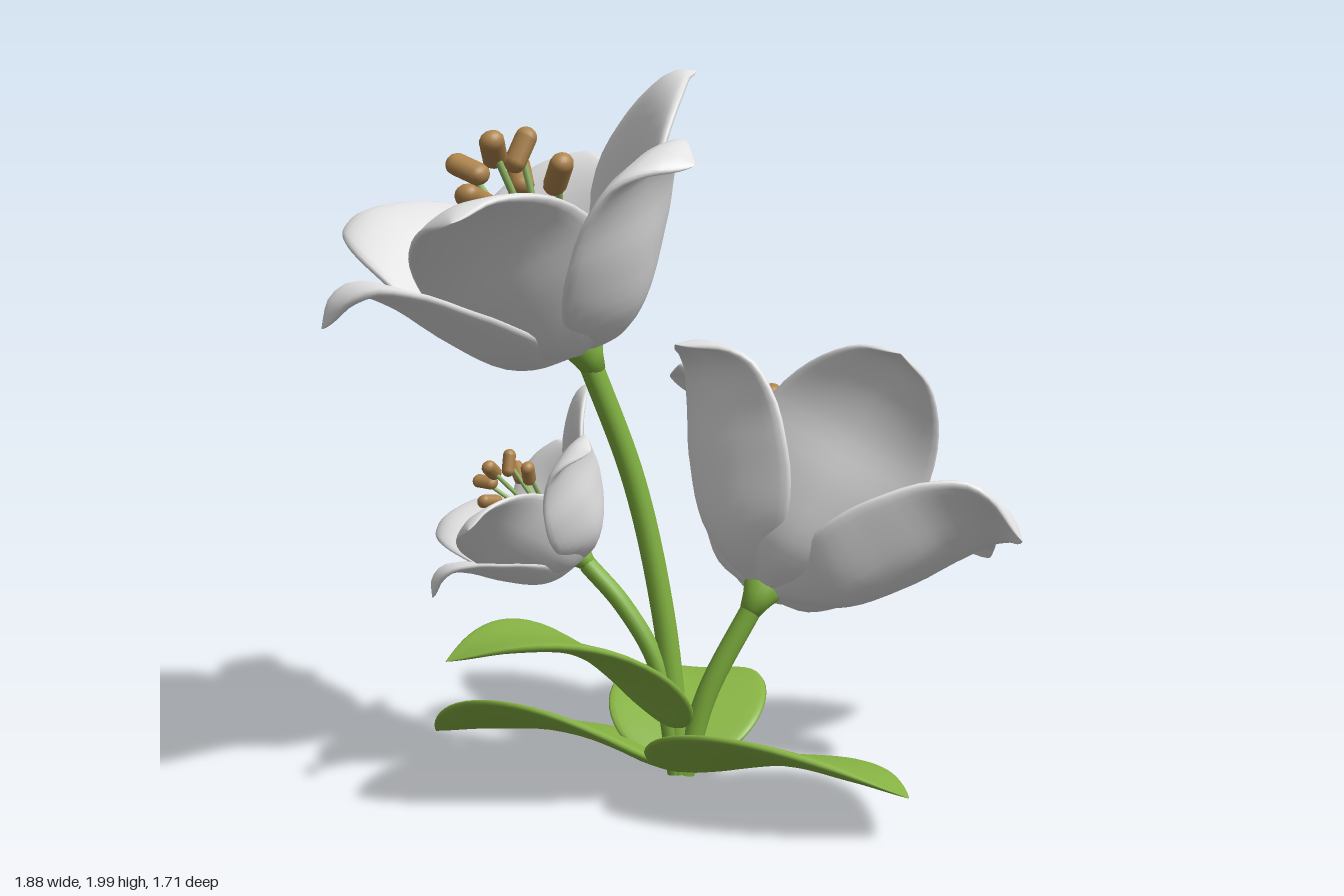
import * as THREE from 'three';

const V = (x, y, z) => new THREE.Vector3(x, y, z);
const mat = (name, color) => {
  const m = new THREE.MeshStandardMaterial({ color });
  m.name = name;
  return m;
};

// width rule along a blade: rises as t^p, falls as (1-t)^q, peak value 1
const swell = (p, q) => {
  const m = p / (p + q), peak = m ** p * (1 - m) ** q;
  return t => (t ** p * (1 - t) ** q) / peak;
};

// closed, softly edged blade lofted along a curve; cup lifts its sides, lift tips it sideways
function blade({ points, half, width, thick, lift = 0, cup }) {
  const curve = new THREE.CatmullRomCurve3(points);
  const rows = 30, cols = 28, pos = [], idx = [];
  const run = points[points.length - 1].clone().sub(points[0]).setY(0);
  const side = V(0, 1, 0).cross(run).normalize();
  side.y = lift;
  for (let i = 0; i <= rows; i++) {
    const t = 0.004 + 0.996 * (1 - Math.cos((Math.PI * i) / rows)) / 2;
    const p = curve.getPointAt(t), T = curve.getTangentAt(t);
    const L = side.clone().addScaledVector(T, -side.dot(T)).normalize();
    const N = T.clone().cross(L);
    const f = width(t), w = half * f, th = thick * Math.min(1, f * 1.6);
    for (let j = 0; j < cols; j++) {
      const a = (j / cols) * Math.PI * 2, c = Math.cos(a), s = Math.sin(a);
      const up = th * Math.sign(s) * Math.abs(s) ** 0.6 + cup(t) * f * Math.abs(c) ** 1.6;
      const v = p.clone().addScaledVector(L, w * c).addScaledVector(N, up);
      pos.push(v.x, v.y, v.z);
      if (i < rows) {
        const k = i * cols, n = (j + 1) % cols;
        idx.push(k + j, k + n, k + cols + n, k + j, k + cols + n, k + cols + j);
      }
    }
  }
  const g = new THREE.BufferGeometry();
  g.setAttribute('position', new THREE.Float32BufferAttribute(pos, 3));
  g.setIndex(idx);
  g.computeVertexNormals();
  return g;
}

export function createModel() {
  const root = new THREE.Group();
  root.name = 'floweringPlant';
  const petalMat = mat('petal white', 0xe2e2e3);
  const leafMat = mat('leaf green', 0x89b645);
  const stemMat = mat('stem green', 0x7fb03e);
  const filamentMat = mat('filament green', 0x93b866);
  const antherMat = mat('anther brown', 0xae844c);
  const add = (parent, geo, material, name) => {
    const m = new THREE.Mesh(geo, material);
    m.name = name;
    parent.add(m);
    return m;
  };

  // petals: bulge at the base, flare outward, then droop and roll back at the tip
  const petalGeo = (half, profile) => blade({
    points: profile.map(([r, h]) => V(r, h, 0)),
    half, width: swell(0.72, 0.78), thick: 0.021,
    cup: t => 0.1 - 0.17 * t * t,
  });
  const innerPetal = petalGeo(0.25,
    [[0.02, 0], [0.18, 0.075], [0.3, 0.24], [0.38, 0.4], [0.48, 0.51], [0.56, 0.55], [0.63, 0.535]]);
  const outerPetal = petalGeo(0.235,
    [[0.02, 0], [0.2, 0.07], [0.32, 0.22], [0.395, 0.35], [0.47, 0.43], [0.54, 0.435], [0.61, 0.385]]);
  const calyxGeo = new THREE.LatheGeometry(
    [[0, -0.07], [0.03, -0.065], [0.042, -0.025], [0.055, 0.005], [0.048, 0.016], [0, 0.004]]
      .map(([r, y]) => new THREE.Vector2(r, y)), 20);
  const antherGeo = new THREE.CapsuleGeometry(0.03, 0.07, 6, 12);

  // stamens are listed as [turn in sixths, radius, height]
  function flower(name, base, axis, ref, scale, stamens) {
    const g = new THREE.Group();
    g.name = name;
    const y = axis.clone().normalize();
    const x = ref.clone().addScaledVector(y, -ref.dot(y)).normalize();
    g.quaternion.setFromRotationMatrix(new THREE.Matrix4().makeBasis(x, y, x.clone().cross(y)));
    g.position.copy(base);
    g.scale.setScalar(scale);
    add(g, calyxGeo, stemMat, 'calyx');
    for (let i = 0; i < 6; i++) {
      const outer = i % 2 === 1;
      const petal = add(g, outer ? outerPetal : innerPetal, petalMat, outer ? 'outerPetal' : 'innerPetal');
      petal.rotation.y = (i * Math.PI) / 3;
    }
    for (const [turn, r, h] of stamens) {
      const stamen = new THREE.Group();
      stamen.name = 'stamen';
      stamen.rotation.y = (turn * Math.PI) / 3;
      const path = new THREE.CatmullRomCurve3([V(0.015, 0.02, 0), V(r * 0.4, h * 0.55, 0), V(r, h, 0)]);
      add(stamen, new THREE.TubeGeometry(path, 12, 0.01, 8), filamentMat, 'filament');
      const anther = add(stamen, antherGeo, antherMat, 'anther');
      anther.position.set(r, h, 0);
      anther.rotation.z = -0.9;
      anther.scale.z = 1.15;
      g.add(stamen);
    }
    root.add(g);
  }

  const openStamens = [[0, 0.08, 0.56], [1, 0.2, 0.48], [2, 0.1, 0.57], [3.7, 0.16, 0.51], [4.4, 0.07, 0.6], [4.9, 0.21, 0.48]];
  const wideStamens = [[0, 0.15, 0.55], [1.4, 0.22, 0.52], [1, 0.09, 0.6], [2, 0.12, 0.6], [2.6, 0.22, 0.49], [4, 0.1, 0.61]];
  flower('tallFlower', V(-0.19, 1.25, 0.15), V(-0.16, 0.44, 0.14), V(0.367, 0.32, -0.396), 1, openStamens);
  flower('wideFlower', V(0.23, 0.57, -0.1), V(0.14, 0.4, -0.32), V(0.33, -0.29, -0.42), 1.02, wideStamens);
  flower('smallFlower', V(-0.23, 0.66, 0.09), V(-0.195, 0.22, 0.1), V(0.175, 0.26, -0.19), 0.6, openStamens);

  // stems
  const stem = (name, r, ...pts) => add(root,
    new THREE.TubeGeometry(new THREE.CatmullRomCurve3(pts), 32, r, 14), stemMat, name);
  stem('tallStem', 0.033, V(0.03, 0.05, 0), V(-0.02, 0.5, 0.01), V(-0.09, 0.88, 0.05), V(-0.185, 1.235, 0.145));
  stem('wideStem', 0.03, V(0.04, 0.05, 0), V(0.1, 0.28, -0.02), V(0.22, 0.545, -0.085));
  stem('smallStem', 0.026, V(0.02, 0.05, 0.01), V(-0.03, 0.36, 0.03), V(-0.12, 0.53, 0.06), V(-0.22, 0.645, 0.085));

  // leaves: arched, pointed, gently folded along the middle
  const leaf = (name, half, lift, base, control, tip) => {
    const arch = new THREE.QuadraticBezierCurve3(base, control, tip);
    add(root, blade({
      points: arch.getPoints(6), half, lift, thick: 0.018,
      width: swell(0.62, 0.92), cup: () => 0.025,
    }), leafMat, name);
  };
  const root0 = V(0.02, 0.05, 0);
  leaf('rightLeaf', 0.37, 0.38, root0, V(-0.37, 0.22, 0), V(-0.77, 0.07, 0));
  leaf('leftLeaf', 0.33, -0.34, root0, V(0.36, 0.23, 0.1), V(0.76, 0.14, 0.21));
  leaf('frontLeaf', 0.28, 0.05, V(0, 0.19, 0.03), V(-0.14, 0.6, 0.3), V(-0.4, 0.46, 0.56));
  leaf('backLeaf', 0.23, 0, root0, V(-0.06, 0.32, -0.28), V(-0.13, 0.17, -0.56));

  return root;
}
